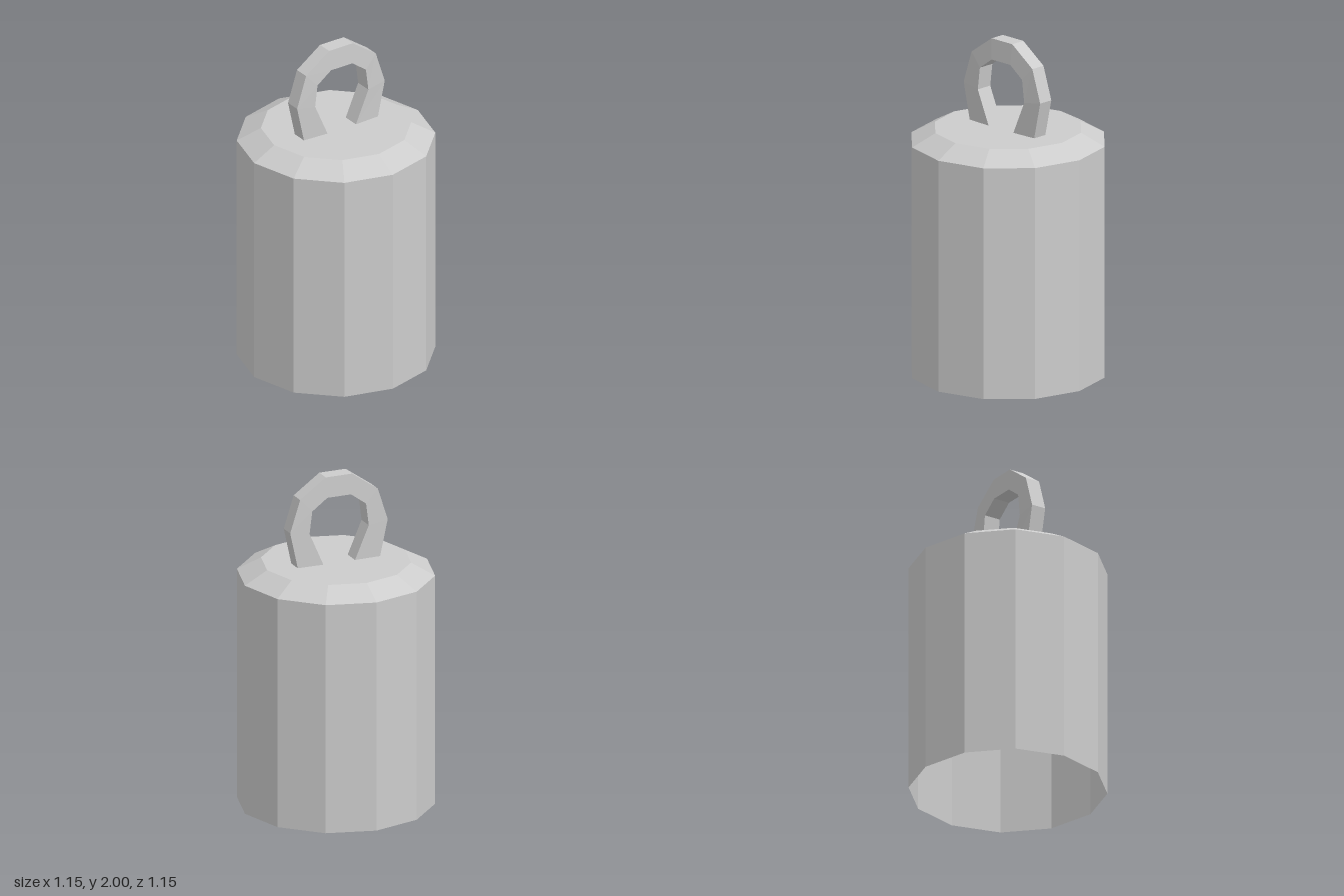
import * as THREE from 'three';

// Twelve-sided hollow shell with a bevelled, closed top and an open bottom
function makeBody(material) {
  const profile = [[0.575, 0], [0.575, 1.395], [0.435, 1.47], [0, 1.47]]
    .map(([r, y]) => new THREE.Vector2(r, y));
  const body = new THREE.Mesh(new THREE.LatheGeometry(profile, 12), material);
  body.name = 'body';
  return body;
}

// Faceted hanging loop: four-cornered sections swept from one foot to the other
function makeLoop(material) {
  // outer x, outer y, inner x, inner y for one half, foot to crown
  const half = [
    [0.26, 1.47, 0.10, 1.47],
    [0.308, 1.69, 0.187, 1.67],
    [0.245, 1.885, 0.17, 1.805],
    [0.083, 2.0, 0.075, 1.875],
  ];
  const mirrored = half.map(([ox, oy, ix, iy]) => [-ox, oy, -ix, iy]).reverse();
  const sections = [...half, ...mirrored];

  const positions = [];
  for (const [ox, oy, ix, iy] of sections) {
    positions.push(ox, oy, 0.05, ox, oy, -0.042, ix, iy, -0.045, ix, iy, 0.058);
  }

  const index = [];
  const last = (sections.length - 1) * 4;
  for (let s = 0; s < last; s += 4) {
    for (let j = 0; j < 4; j++) {
      const a = s + j, b = s + (j + 1) % 4;
      index.push(a, b, b + 4, a, b + 4, a + 4);
    }
  }
  // feet
  index.push(0, 3, 2, 0, 2, 1);
  index.push(last, last + 1, last + 2, last, last + 2, last + 3);

  const indexed = new THREE.BufferGeometry();
  indexed.setAttribute('position', new THREE.Float32BufferAttribute(positions, 3));
  indexed.setIndex(index);
  const geometry = indexed.toNonIndexed();
  geometry.computeVertexNormals();

  const loop = new THREE.Mesh(geometry, material);
  loop.name = 'hangingLoop';
  return loop;
}

export function createModel() {
  const shell = new THREE.MeshStandardMaterial({
    color: 0xcccccc, flatShading: true, side: THREE.DoubleSide,
  });
  const solid = new THREE.MeshStandardMaterial({ color: 0xcccccc, flatShading: true });

  const model = new THREE.Group();
  model.name = 'bell';
  model.add(makeBody(shell), makeLoop(solid));
  return model;
}
